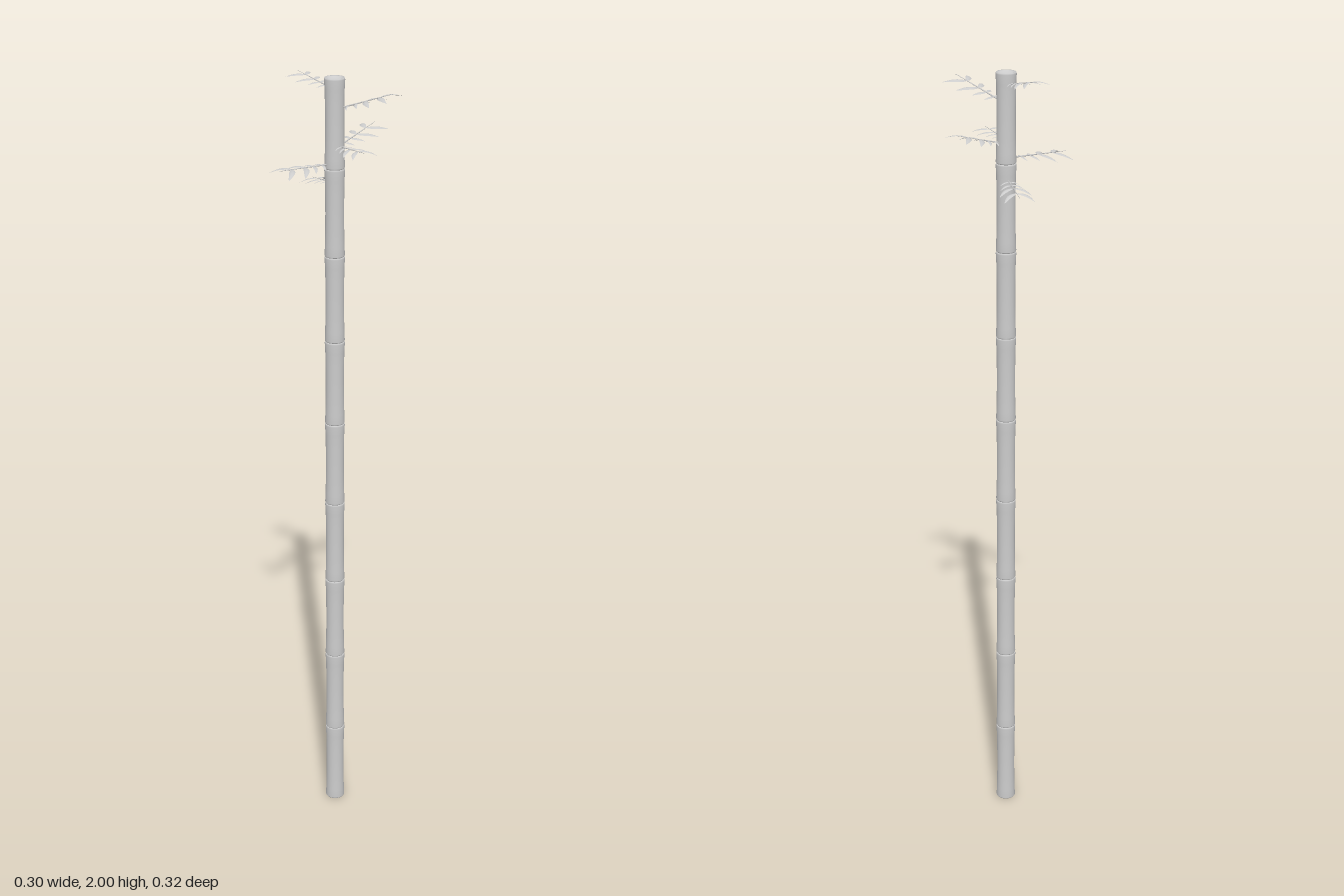
import * as THREE from 'three';

const material = new THREE.MeshStandardMaterial({ color: 0xcccccc, side: THREE.DoubleSide });
const AXIS_X = -0.013, AXIS_Z = -0.003;
const SECTIONS = 9, SECTION_HEIGHT = 2 / SECTIONS;

const v2 = (x, y) => new THREE.Vector2(x, y);

// One waisted stalk section; both ends are dished inward behind a narrow rim
function sectionGeometry() {
  const h = SECTION_HEIGHT;
  const points = [v2(0, 0.006), v2(0.016, 0.005), v2(0.02, 0.001), v2(0.0235, 0), v2(0.0253, 0.003)];
  for (let i = 1; i < 8; i++) {
    const t = i / 8;
    points.push(v2(0.0232 + 0.0018 * (2 * t - 1) ** 2, t * h));
  }
  points.push(v2(0.0256, h - 0.004), v2(0.0242, h), v2(0.0205, h - 0.001), v2(0.016, h - 0.006), v2(0, h - 0.007));
  return new THREE.LatheGeometry(points, 24);
}

// Slender leaf along +x, pointed at both ends, slightly cupped and drooping
function leafGeometry() {
  const geometry = new THREE.PlaneGeometry(1, 1, 10, 4).rotateX(-Math.PI / 2);
  const p = geometry.attributes.position;
  for (let i = 0; i < p.count; i++) {
    const t = p.getX(i) + 0.5, s = p.getZ(i) * 2;
    const halfWidth = 0.125 * Math.pow(Math.sin(Math.PI * Math.pow(t, 0.8)), 0.85) || 0;
    const bend = -0.06 * Math.sin(Math.PI * t);
    p.setXYZ(i, t, 0.05 * Math.sin(Math.PI * t) - 0.24 * t * t - 0.04 * s * s * halfWidth / 0.125,
      s * halfWidth + bend);
  }
  geometry.computeVertexNormals();
  return geometry;
}

// Pairs of leaves: distance along the twig, leaf length, splay angle in degrees
const PAIRS = [[0.037, 0.028, 76], [0.06, 0.037, 68], [0.083, 0.055, 58], [0.119, 0.057, 50]];
const TWIG_LENGTH = 0.155;

function createBranch(leaf, [y, dx, dy, dz]) {
  const branch = new THREE.Group();
  branch.name = 'leafyBranch';
  const flat = Math.hypot(dx, dz);
  branch.position.set(AXIS_X, y, AXIS_Z);
  branch.rotation.set(0, Math.atan2(-dz, dx), Math.atan2(dy, flat), 'YZX');
  branch.scale.setScalar(Math.hypot(flat, dy) / TWIG_LENGTH);

  // Thin tapering twig
  const twig = new THREE.Mesh(
    new THREE.CylinderGeometry(0.0006, 0.002, TWIG_LENGTH - 0.018, 6).rotateZ(-Math.PI / 2), material);
  twig.name = 'twig';
  twig.position.x = (TWIG_LENGTH + 0.018) / 2;
  branch.add(twig);

  for (const [distance, length, angle] of PAIRS) {
    for (const side of [1, -1]) {
      const mesh = new THREE.Mesh(leaf, material);
      mesh.name = 'leaf';
      mesh.position.x = distance;
      mesh.rotation.y = side * THREE.MathUtils.degToRad(angle);
      mesh.scale.set(length, length, length * side);
      branch.add(mesh);
    }
  }
  return branch;
}

export function createModel() {
  const model = new THREE.Group();
  model.name = 'bambooStalk';

  // Stacked stalk sections
  const section = sectionGeometry();
  for (let i = 0; i < SECTIONS; i++) {
    const mesh = new THREE.Mesh(section, material);
    mesh.name = 'stalkSection';
    mesh.position.set(AXIS_X, i * SECTION_HEIGHT, AXIS_Z);
    model.add(mesh);
  }

  // Branches near the top: height on the stalk axis, then offset to the tip
  const branches = [
    [1.97, -0.127, 0.027, -0.029],
    [1.922, 0.153, 0.053, -0.017],
    [1.835, 0.118, 0.006, 0.049],
    [1.825, 0.022, 0.041, -0.147],
    [1.79, -0.063, 0.003, 0.146],
    [1.742, -0.112, -0.018, -0.07],
  ];
  const leaf = leafGeometry();
  for (const data of branches) model.add(createBranch(leaf, data));
  return model;
}
